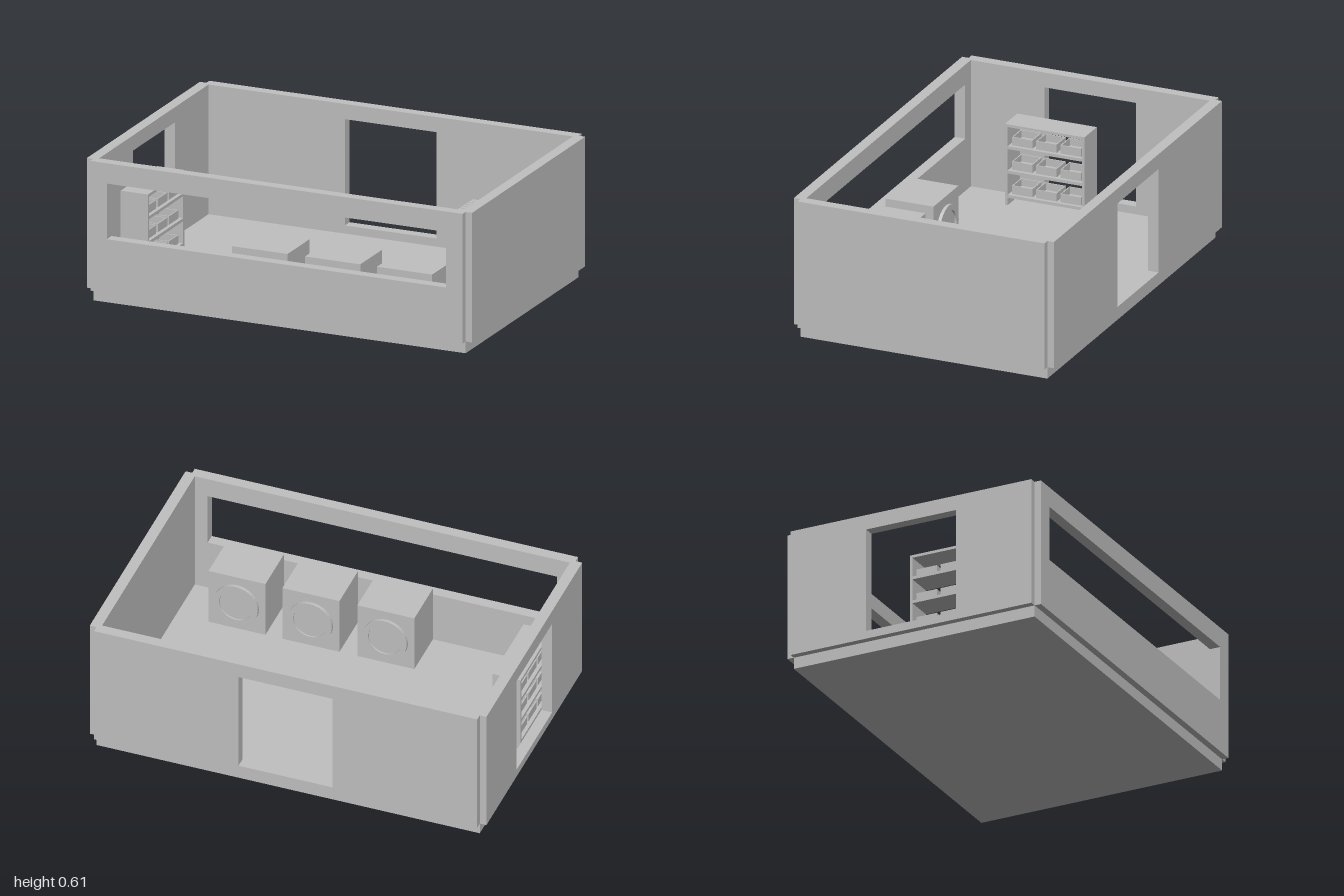
import * as THREE from 'three';

const grey = new THREE.MeshStandardMaterial({ color: 0xc0c0c0 });
grey.name = 'plain grey';

function add(parent, name, geometry, x = 0, y = 0, z = 0) {
  const mesh = new THREE.Mesh(geometry, grey);
  mesh.name = name;
  mesh.position.set(x, y, z);
  parent.add(mesh);
  return mesh;
}

// Box given by its minimum and maximum corners
function box(parent, name, x0, x1, y0, y1, z0, z1) {
  return add(parent, name, new THREE.BoxGeometry(x1 - x0, y1 - y0, z1 - z0),
    (x0 + x1) / 2, (y0 + y1) / 2, (z0 + z1) / 2);
}

const T = 0.047, BASE = 0.05, TOP = 0.605;

// Upright wall slab with an optional centred opening [half width, bottom, top]
function wall(parent, name, half, opening) {
  const shape = new THREE.Shape([
    new THREE.Vector2(-half, BASE), new THREE.Vector2(half, BASE),
    new THREE.Vector2(half, TOP), new THREE.Vector2(-half, TOP)]);
  if (opening) {
    const [w, a, b] = opening;
    shape.holes.push(new THREE.Path([
      new THREE.Vector2(-w, a), new THREE.Vector2(-w, b),
      new THREE.Vector2(w, b), new THREE.Vector2(w, a)]));
  }
  return add(parent, name, new THREE.ExtrudeGeometry(shape, { depth: T, bevelEnabled: false }));
}

// Front-loading washer with a round door facing -z
function washer(x) {
  const g = new THREE.Group();
  g.name = 'washingMachine';
  box(g, 'washerBody', -0.124, 0.124, BASE, 0.31, 0.32, 0.533);
  const ring = new THREE.Shape().absarc(0, 0, 0.096, 0, Math.PI * 2);
  ring.holes.push(new THREE.Path().absarc(0, 0, 0.072, 0, Math.PI * 2, true));
  add(g, 'doorRing', new THREE.ExtrudeGeometry(ring,
    { depth: 0.014, bevelEnabled: false, curveSegments: 16 }), 0, 0.175, 0.306);
  add(g, 'doorGlass', new THREE.CylinderGeometry(0.072, 0.072, 0.006, 32), 0, 0.175, 0.317)
    .rotation.x = Math.PI / 2;
  g.position.x = x;
  return g;
}

// Open tray standing on a shelf board
function tray(parent, x, y, z) {
  const w = 0.046, d = 0.045, h = 0.036, t = 0.005;
  box(parent, 'trayBottom', x - d, x + d, y, y + t, z - w, z + w);
  for (const s of [-1, 1]) {
    const ex = x + s * (d - t / 2), ez = z + s * (w - t / 2);
    box(parent, 'traySide', ex - t / 2, ex + t / 2, y, y + h, z - w, z + w);
    box(parent, 'trayEnd', x - d, x + d, y, y + h, ez - t / 2, ez + t / 2);
  }
}

function shelfUnit() {
  const g = new THREE.Group();
  g.name = 'shelfUnit';
  const x0 = -0.815, x1 = -0.693, z0 = -0.03, z1 = 0.325, t = 0.012;
  box(g, 'sidePanel', x0, x1, BASE, 0.405, z0, z0 + t);
  box(g, 'sidePanel', x0, x1, BASE, 0.405, z1 - t, z1);
  box(g, 'topBoard', x0, x1, 0.393, 0.405, z0, z1);
  for (const y of [0.095, 0.202, 0.309]) {
    box(g, 'shelfBoard', x0, x1, y - 0.013, y, z0 + t, z1 - t);
    for (const k of [-1, 0, 1]) tray(g, (x0 + x1) / 2, y, (z0 + z1) / 2 + k * 0.108);
  }
  return g;
}

// Slatted rack beside the back wall
function slatRack() {
  const g = new THREE.Group();
  g.name = 'slatRack';
  for (let i = 0; i < 6; i++) {
    const z = -0.515 + i * 0.0255;
    box(g, 'slat', 0.37, 0.81, 0.262, 0.278, z - 0.01, z + 0.01);
  }
  for (const x of [0.417, 0.76]) {
    box(g, 'crossBar', x - 0.01, x + 0.01, 0.246, 0.262, -0.52, -0.38);
    for (const z of [-0.51, -0.39]) box(g, 'leg', x - 0.01, x + 0.01, BASE, 0.25, z - 0.01, z + 0.01);
  }
  return g;
}

export function createModel() {
  const model = new THREE.Group();
  model.name = 'laundryRoom';
  const room = new THREE.Group();
  room.name = 'room';
  room.rotation.y = -Math.PI / 4;
  model.add(room);

  const L = 0.834, W = 0.551;
  box(room, 'floor', -L, L, 0, BASE, -W, W);

  // Walls overhang the floor slab and leave notched corners
  const door = [0.205, 0.085, 0.54];
  wall(room, 'windowWall', L, [0.76, 0.28, 0.518]).position.z = 0.58 - T;
  wall(room, 'backDoorWall', L, door).position.z = -0.58;
  const side = wall(room, 'sideDoorWall', W, door);
  side.rotation.y = Math.PI / 2;
  side.position.x = -0.863;
  const solid = wall(room, 'solidWall', W);
  solid.rotation.y = Math.PI / 2;
  solid.position.x = 0.863 - T;

  for (const x of [-0.096, 0.23, 0.552]) room.add(washer(x));
  room.add(shelfUnit(), slatRack());
  return model;
}
